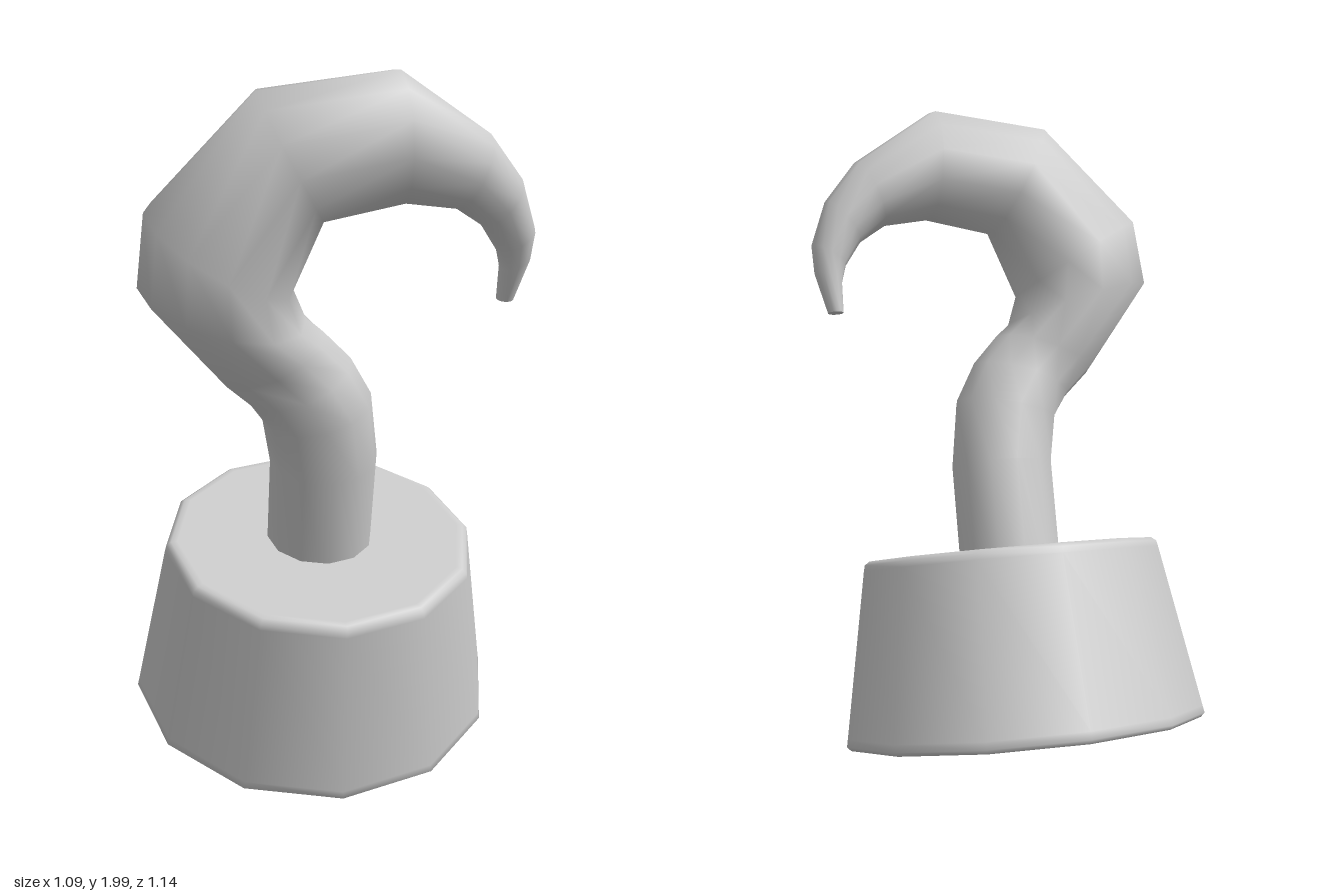
import * as THREE from 'three';

const SIDES = 12;
const TILT = Math.PI / 12;
const BASE_Y = 0.142;
const material = new THREE.MeshStandardMaterial({ color: 0xcccccc });

// Tapered cup with narrow bevels at both rims
function makeBase() {
  const profile = [
    [0, 0], [0.515, 0], [0.533, 0.002], [0.545, 0.014], [0.541, 0.035],
    [0.456, 0.515], [0.452, 0.532], [0.438, 0.543], [0.42, 0.544], [0, 0.544],
  ].map(([r, y]) => new THREE.Vector2(r, y));
  const mesh = new THREE.Mesh(new THREE.LatheGeometry(profile, SIDES), material);
  mesh.name = 'base';
  return mesh;
}

// Hook swept through round sections, each given by its outer and inner edge point
function makeHook() {
  const sections = [
    [-0.155, 0.55, 0.155, 0.55],
    [-0.155, 0.92, 0.155, 0.93],
    [-0.18, 1.05, 0.125, 1.12],
    [-0.23, 1.12, 0.06, 1.23],
    [-0.31, 1.19, -0.02, 1.31],
    [-0.52, 1.45, -0.07, 1.35],
    [-0.5, 1.65, -0.11, 1.44],
    [-0.22, 1.95, -0.04, 1.63],
    [0.14, 2.0, 0.16, 1.67],
    [0.39, 1.84, 0.31, 1.65],
    [0.49, 1.72, 0.39, 1.6],
    [0.54, 1.59, 0.44, 1.53],
    [0.537, 1.51, 0.455, 1.48],
    [0.505, 1.39, 0.457, 1.39],
  ];
  const positions = [];
  const index = [];
  const toLocal = (y) => (y - BASE_Y) / Math.cos(TILT);

  sections.forEach(([ox, oy, ix, iy], i) => {
    const radius = Math.hypot(ox - ix, oy - iy) / 2;
    for (let j = 0; j < SIDES; j++) {
      const a = (j / SIDES) * Math.PI * 2;
      const t = (1 + Math.cos(a)) / 2;
      positions.push(ix + (ox - ix) * t, toLocal(iy + (oy - iy) * t), radius * Math.sin(a));
      if (i === 0) continue;
      const k = (j + 1) % SIDES;
      const p = (i - 1) * SIDES;
      const q = i * SIDES;
      index.push(p + j, p + k, q + j, p + k, q + k, q + j);
    }
  });

  // Flat tip with its own corners, so its edge stays sharp
  const last = (sections.length - 1) * SIDES;
  const cap = last + SIDES;
  positions.push(...positions.slice(last * 3));
  for (let j = 1; j < SIDES - 1; j++) index.push(cap, cap + j, cap + j + 1);

  const geometry = new THREE.BufferGeometry();
  geometry.setAttribute('position', new THREE.Float32BufferAttribute(positions, 3));
  geometry.setIndex(index);
  geometry.computeVertexNormals();
  const mesh = new THREE.Mesh(geometry, material);
  mesh.name = 'hook';
  return mesh;
}

export function createModel() {
  const model = new THREE.Group();
  model.name = 'hookHand';
  // The whole piece leans forward, resting on the front of its rim
  const leaning = new THREE.Group();
  leaning.name = 'leaningBody';
  leaning.position.set(0, BASE_Y, -0.055);
  leaning.rotation.x = TILT;
  leaning.add(makeBase(), makeHook());
  model.add(leaning);
  return model;
}
